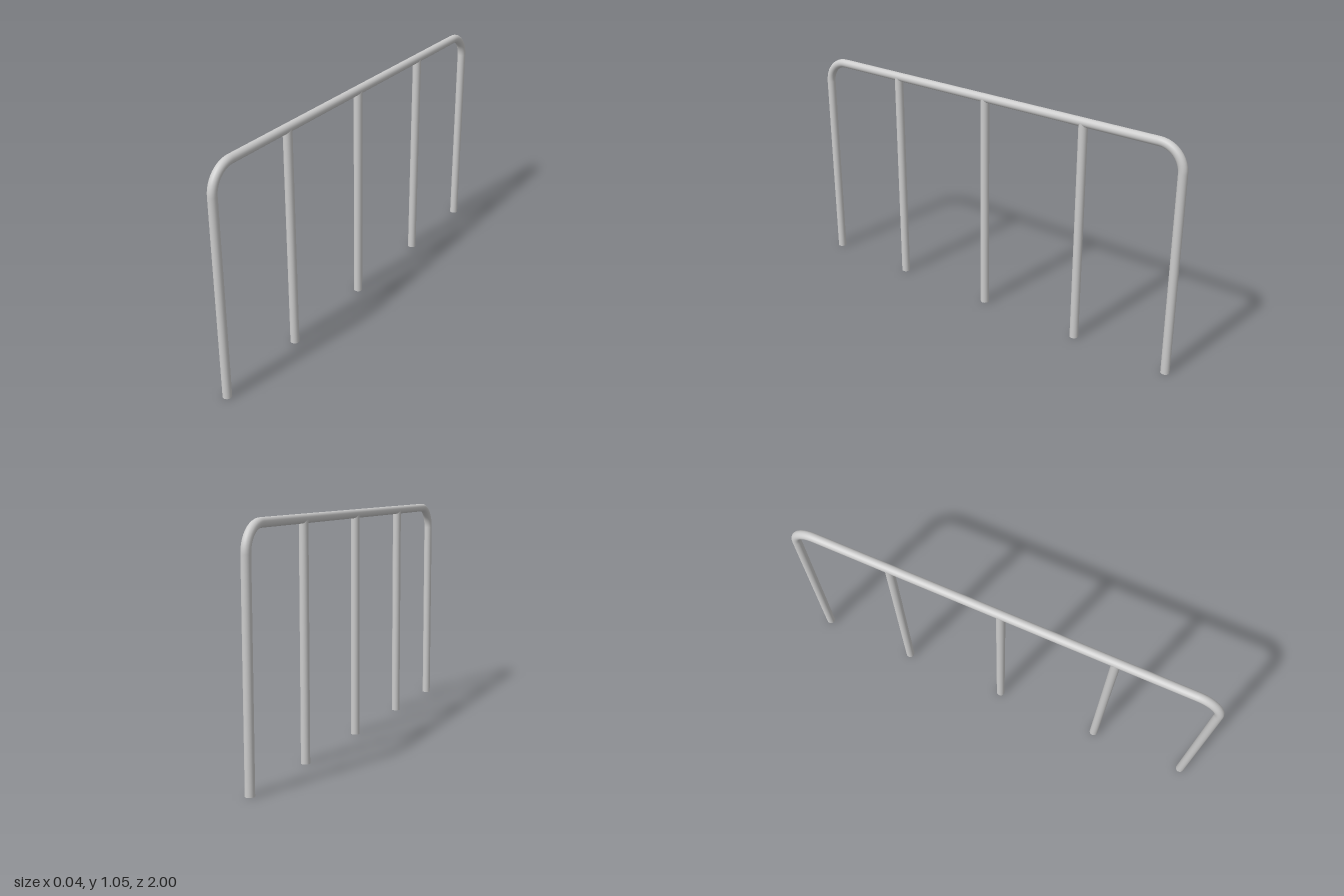
import * as THREE from 'three';

const R = 0.02;        // pipe radius
const BEND = 0.11;     // centreline radius of the corner bends
const RAIL_Y = 1.03;   // centreline height of the top rail
const END_Z = 0.98;    // centreline of the end legs
const SIDES = 20;

export function createModel() {
  const group = new THREE.Group();
  const material = new THREE.MeshStandardMaterial({ color: 0xcccccc, side: THREE.DoubleSide });

  const add = (parent, name, geometry, y, z) => {
    const mesh = new THREE.Mesh(geometry, material);
    mesh.name = name;
    mesh.position.set(0, y, z);
    parent.add(mesh);
    return mesh;
  };

  // Upright pipe with a closed foot
  const addUpright = (name, height, z) => {
    const upright = new THREE.Group();
    upright.name = name;
    add(upright, 'pipe', new THREE.CylinderGeometry(R, R, height, SIDES, 1, true), height / 2, z);
    add(upright, 'footCap', new THREE.CircleGeometry(R, SIDES).rotateX(Math.PI / 2), 0, z);
    group.add(upright);
  };

  // Straight top rail between the bends
  const railLength = 2 * (END_Z - BEND);
  add(group, 'topRail',
    new THREE.CylinderGeometry(R, R, railLength, SIDES, 1, true).rotateX(Math.PI / 2), RAIL_Y, 0);

  // End legs and the quarter bends that join them to the rail
  for (const [side, s] of [['front', 1], ['back', -1]]) {
    addUpright(side + 'Leg', RAIL_Y - BEND, s * END_Z);
    add(group, side + 'Bend',
      new THREE.TorusGeometry(BEND, R, SIDES, 12, Math.PI / 2).rotateY(-s * Math.PI / 2),
      RAIL_Y - BEND, s * (END_Z - BEND));
  }

  // Inner posts running up into the rail
  for (const [name, z] of [['frontPost', 0.515], ['middlePost', 0], ['backPost', -0.515]]) {
    addUpright(name, RAIL_Y, z);
  }
  return group;
}
